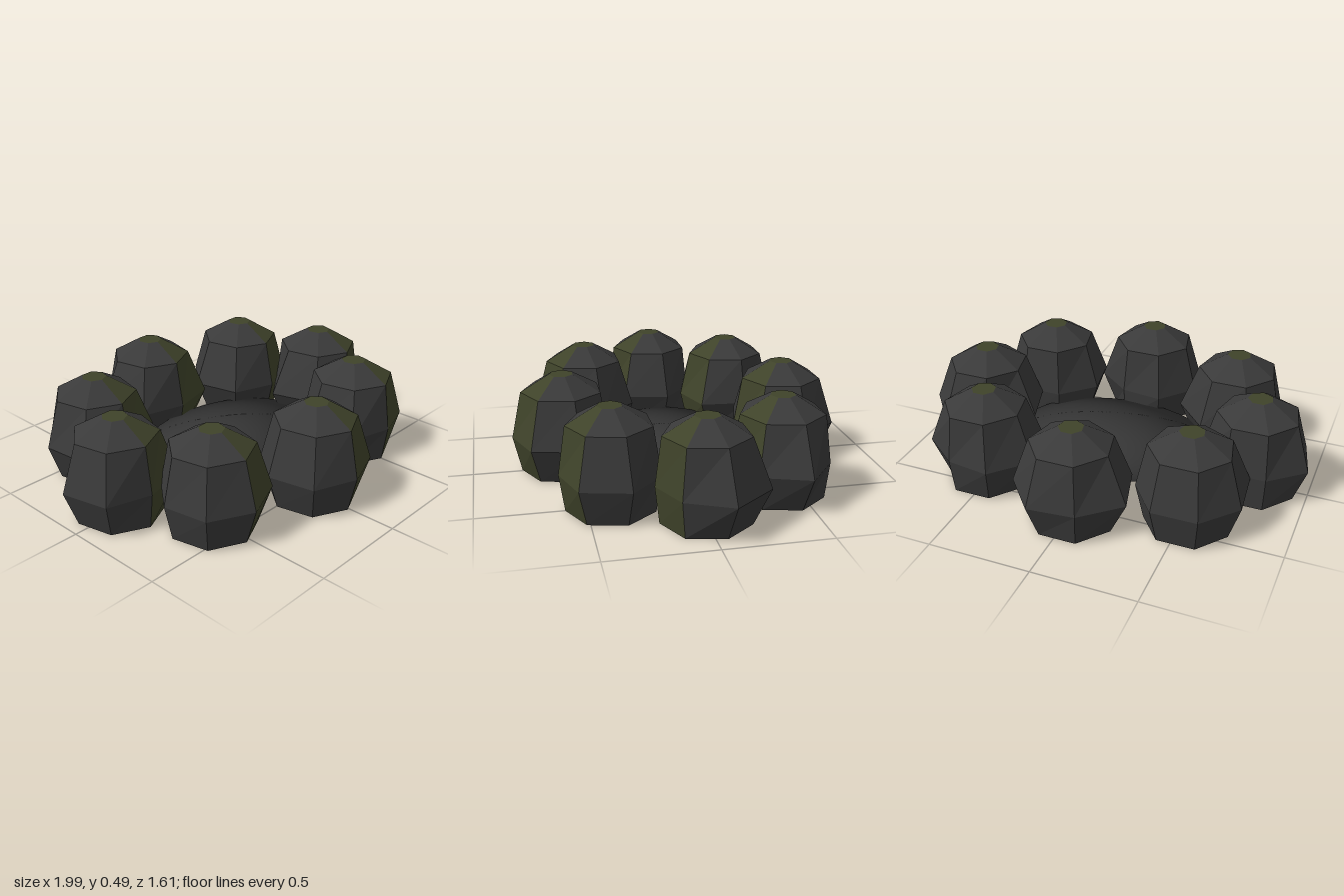
import * as THREE from 'three';

const stoneMat = new THREE.MeshStandardMaterial({ color: 0x3a3a3a });
stoneMat.name = 'stone grey';
const mossMat = new THREE.MeshStandardMaterial({ color: 0x3f432a });
mossMat.name = 'moss olive';
const ashMat = new THREE.MeshStandardMaterial({ color: 0x363636 });
ashMat.name = 'ash grey';

const SIDES = 7;

// Each stone: centre x, centre z, then the seven radii of its widest ring
const STONES = [
  [-0.01, 0.55, [0.25, 0.275, 0.28, 0.227, 0.256, 0.264, 0.27]],
  [0.5, 0.385, [0.235, 0.267, 0.27, 0.237, 0.242, 0.27, 0.284]],
  [0.71, -0.005, [0.23, 0.236, 0.29, 0.29, 0.227, 0.3, 0.28]],
  [0.51, -0.405, [0.25, 0.26, 0.29, 0.23, 0.263, 0.283, 0.28]],
  [-0.015, -0.565, [0.24, 0.29, 0.283, 0.275, 0.25, 0.296, 0.287]],
  [-0.525, -0.405, [0.25, 0.288, 0.25, 0.255, 0.253, 0.267, 0.3]],
  [-0.733, -0.01, [0.23, 0.277, 0.268, 0.225, 0.227, 0.273, 0.27]],
  [-0.525, 0.385, [0.262, 0.273, 0.29, 0.273, 0.244, 0.247, 0.259]],
];

// Faceted stone from four stacked rings, split into grey and mossy faces
function stoneGeometry(radii) {
  const even = (r) => radii.map(() => r);
  const rings = [
    [0, even(0.21)],
    [0.176, radii],
    [0.406, even(0.2)],
    [0.488, even(0.06)],
  ];
  const point = (ring, i) => {
    const k = i % SIDES;
    const a = (k / SIDES) * Math.PI * 2;
    const [y, r] = rings[ring];
    return [Math.sin(a) * r[k], y, Math.cos(a) * r[k]];
  };
  const grey = [];
  const moss = [];
  for (let i = 0; i < SIDES; i++) {
    // Side facets: the first column is mossy
    const side = i === 0 ? moss : grey;
    for (let j = 0; j < rings.length - 1; j++) {
      const a = point(j, i), b = point(j, i + 1);
      const c = point(j + 1, i + 1), d = point(j + 1, i);
      side.push(...a, ...b, ...c, ...a, ...c, ...d);
    }
    // Mossy cap and flat underside
    moss.push(...point(3, i), ...point(3, i + 1), 0, rings[3][0], 0);
    grey.push(...point(0, i + 1), ...point(0, i), 0, 0, 0);
  }
  const geo = new THREE.BufferGeometry();
  geo.setAttribute('position', new THREE.Float32BufferAttribute([...grey, ...moss], 3));
  geo.addGroup(0, grey.length / 3, 0);
  geo.addGroup(grey.length / 3, moss.length / 3, 1);
  geo.computeVertexNormals();
  return geo;
}

export function createModel() {
  const model = new THREE.Group();
  model.name = 'stoneRing';

  STONES.forEach(([x, z, radii], i) => {
    const stone = new THREE.Mesh(stoneGeometry(radii), [stoneMat, mossMat]);
    stone.name = 'stone' + (i + 1);
    stone.position.set(x, 0, z);
    model.add(stone);
  });

  // Flat oval bed of ash, keeping the round normals of a ball for a soft falloff
  const ashGeo = new THREE.SphereGeometry(1, 40, 20);
  const roundNormals = ashGeo.attributes.normal.clone();
  ashGeo.scale(0.52, 0.03, 0.375);
  ashGeo.setAttribute('normal', roundNormals);
  const ash = new THREE.Mesh(ashGeo, ashMat);
  ash.name = 'ashBed';
  ash.position.y = 0.1;
  model.add(ash);

  return model;
}
